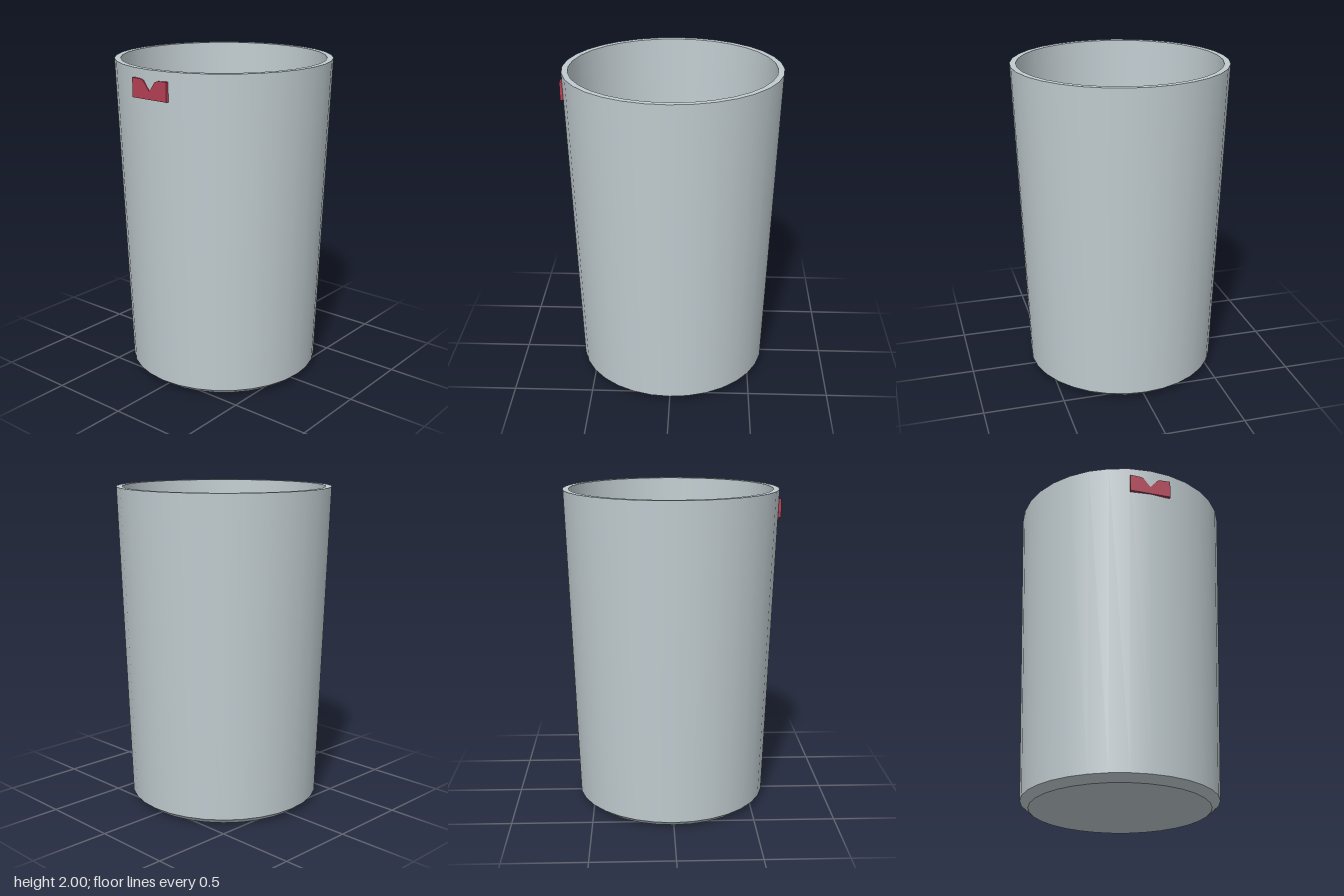
import * as THREE from 'three';

const SIDES = 32;

export function createModel() {
  const metal = new THREE.MeshStandardMaterial({ color: 0xc1ccd0 });
  metal.name = 'pale steel';
  const brown = new THREE.MeshStandardMaterial({ color: 0x8a5224 });
  brown.name = 'brown';
  const red = new THREE.MeshStandardMaterial({ color: 0xb33f54 });
  red.name = 'crimson';

  const model = new THREE.Group();
  model.name = 'tumbler';

  // Cup: each band is its own lathe, so the edges between bands stay sharp
  const cup = new THREE.Group();
  cup.name = 'cup';
  model.add(cup);
  const profile = [[0, 0], [0.55, 0], [0.6, 0.04], [0.665, 2], [0.628, 2], [0.583, 0.06], [0, 0.06]];
  const bands = ['base', 'bottomChamfer', 'outerWall', 'rim', 'innerWall', 'floor'];
  bands.forEach((name, i) => {
    const points = [profile[i], profile[i + 1]].map(([r, y]) => new THREE.Vector2(r, y));
    const band = new THREE.Mesh(new THREE.LatheGeometry(points, SIDES), metal);
    band.name = name;
    cup.add(band);
  });

  // Drink lying on the floor of the cup
  const drink = new THREE.Mesh(new THREE.CircleGeometry(0.582, SIDES), brown);
  drink.name = 'drink';
  drink.rotation.x = -Math.PI / 2;
  drink.position.y = 0.07;
  model.add(drink);

  // Notched tag at the front, just below the rim
  const outline = [
    [-0.13, 1.83], [0.13, 1.83], [0.13, 1.945], [0.065, 1.942], [0.045, 1.935],
    [0, 1.878], [-0.045, 1.935], [-0.065, 1.942], [-0.13, 1.945],
  ].map(([x, y]) => new THREE.Vector2(x, y));
  const tag = new THREE.Mesh(
    new THREE.ExtrudeGeometry(new THREE.Shape(outline), { depth: 0.018, bevelEnabled: false }),
    red,
  );
  tag.name = 'frontTag';
  tag.position.z = 0.648;
  model.add(tag);

  return model;
}
